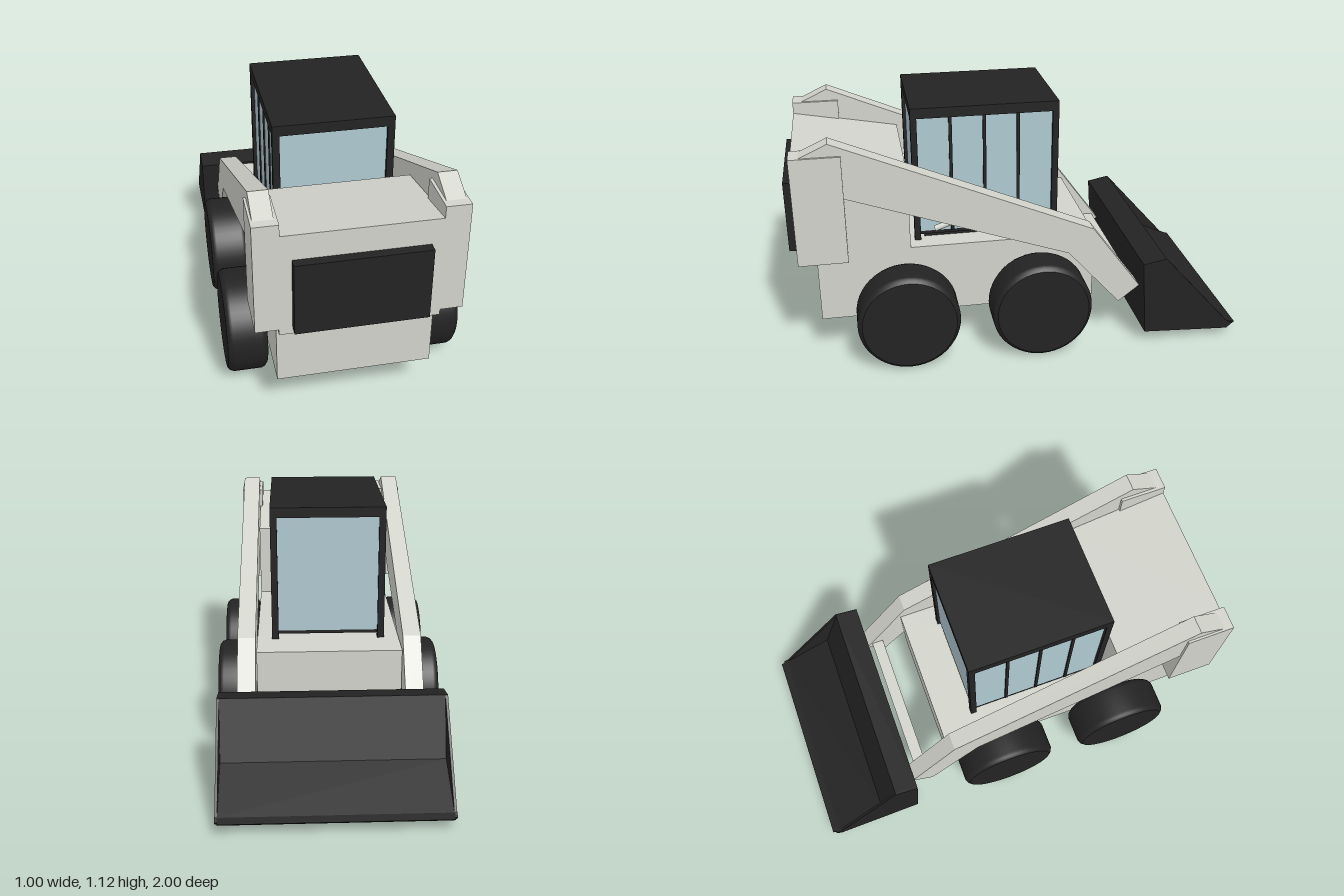
import * as THREE from 'three';

const paint = new THREE.MeshStandardMaterial({ color: 0xd2d3cb });
paint.name = 'light grey paint';
const black = new THREE.MeshStandardMaterial({ color: 0x232323 });
black.name = 'black';
const glass = new THREE.MeshStandardMaterial({ color: 0xafc9d1 });
glass.name = 'pale blue glass';

export function createModel() {
  const model = new THREE.Group();
  model.name = 'vehicle';

  const add = (name, geometry, material, parent = model) => {
    const mesh = new THREE.Mesh(geometry, material);
    mesh.name = name;
    parent.add(mesh);
    return mesh;
  };

  // Box given by its minimum and maximum corners
  const box = (name, material, [x0, y0, z0], [x1, y1, z1], parent) => {
    const mesh = add(name, new THREE.BoxGeometry(x1 - x0, y1 - y0, z1 - z0), material, parent);
    mesh.position.set((x0 + x1) / 2, (y0 + y1) / 2, (z0 + z1) / 2);
  };

  // Side profile of [z, y] points, extruded from x0 to x1
  const slab = (name, material, points, x0, x1, parent) => {
    const shape = new THREE.Shape(points.map(([z, y]) => new THREE.Vector2(-z, y)));
    const geometry = new THREE.ExtrudeGeometry(shape, { depth: x1 - x0, bevelEnabled: false });
    geometry.rotateY(Math.PI / 2).translate(x0, 0, 0);
    add(name, geometry, material, parent);
  };

  // Chassis with raised engine bay and sloping hood
  slab('body', paint, [
    [0.885, 0.19], [0.885, 0.485], [0.96, 0.485], [0.96, 0.94],
    [0.48, 0.85], [0.48, 0.51], [-0.345, 0.51], [-0.345, 0.19],
  ], -0.322, 0.322);
  box('engineGrille', black, [-0.268, 0.512, 0.95], [0.268, 0.83, 1]);

  // Cab
  const cab = new THREE.Group();
  cab.name = 'cab';
  model.add(cab);
  box('cabGlass', glass, [-0.24, 0.545, -0.175], [0.24, 1.08, 0.44], cab);
  box('cabRoof', black, [-0.255, 1.075, -0.187], [0.255, 1.12, 0.455], cab);
  box('cabFloor', black, [-0.24, 0.53, -0.175], [0.24, 0.545, 0.44], cab);
  box('cabPedestal', black, [-0.22, 0.505, 0.14], [0.22, 0.535, 0.41], cab);
  for (const s of [-1, 1]) {
    const a = Math.min(s * 0.225, s * 0.255), b = Math.max(s * 0.225, s * 0.255);
    box('cabGrilleSidePost', black, [a, 0.51, 0.428], [b, 1.08, 0.455], cab);
    box('cabBucketSidePost', black, [a, 0.51, -0.187], [b, 1.08, -0.16], cab);
    for (const z of [0.285, 0.138, -0.01]) {
      box('windowBar', black, [s * 0.242 - 0.004, 0.54, z - 0.007], [s * 0.242 + 0.004, 1.08, z + 0.007], cab);
    }
  }

  // Lift arms, their towers and cylinders
  const armProfile = [
    [0.93, 0.985], [0.8, 1.045], [-0.32, 0.57], [-0.545, 0.265],
    [-0.45, 0.19], [-0.21, 0.46], [0.75, 0.8], [0.93, 0.8],
  ];
  for (const s of [-1, 1]) {
    const span = (a, b) => (s > 0 ? [a, b] : [-b, -a]);
    const [a0, a1] = span(0.325, 0.405);
    slab('liftArm', paint, armProfile, a0, a1);
    const [t0, t1] = span(0.312, 0.415);
    box('armTower', paint, [t0, 0.51, 0.75], [t1, 0.99, 0.96]);
    const rod = add('liftCylinder', new THREE.CylinderGeometry(0.013, 0.013, 0.2, 16), paint);
    rod.position.set(s * 0.35, 0.64, 0.28);
    rod.rotation.x = Math.PI / 2 + 0.33;
  }
  box('armCrossbar', paint, [-0.33, 0.23, -0.515], [0.33, 0.29, -0.46]);

  // Bucket: hollow shell between two end plates
  const bucket = new THREE.Group();
  bucket.name = 'bucket';
  model.add(bucket);
  slab('bucketShell', black, [
    [-0.535, 0.41], [-0.64, 0.43], [-0.73, 0.18], [-0.965, 0.07],
    [-1, 0.06], [-0.965, 0.034], [-0.56, 0.06],
  ], -0.47, 0.47, bucket);
  const plate = [[-0.535, 0.41], [-0.64, 0.43], [-0.96, 0.072], [-0.985, 0.06], [-0.96, 0.036], [-0.56, 0.06]];
  slab('bucketEndPlate', black, plate, 0.469, 0.48, bucket);
  slab('bucketEndPlate', black, plate, -0.48, -0.469, bucket);

  // Wheels: turned profile, repeated points keep the edges crisp
  const wheelProfile = [
    [0, -0.085], [0.205, -0.085], [0.205, -0.085], [0.218, -0.074], [0.224, -0.06],
    [0.224, 0.06], [0.218, 0.074], [0.205, 0.085], [0.205, 0.085], [0, 0.085],
  ].map(([r, h]) => new THREE.Vector2(r, h));
  const wheelGeometry = new THREE.LatheGeometry(wheelProfile, 48).rotateZ(-Math.PI / 2);
  for (const s of [-1, 1]) {
    for (const [name, z] of [['grilleSideWheel', 0.51], ['bucketSideWheel', -0.08]]) {
      add(name, wheelGeometry, black).position.set(s * 0.417, 0.226, z);
      const axle = add('axle', new THREE.CylinderGeometry(0.06, 0.06, 0.06, 20), black);
      axle.position.set(s * 0.33, 0.226, z);
      axle.rotation.z = Math.PI / 2;
    }
  }
  return model;
}
